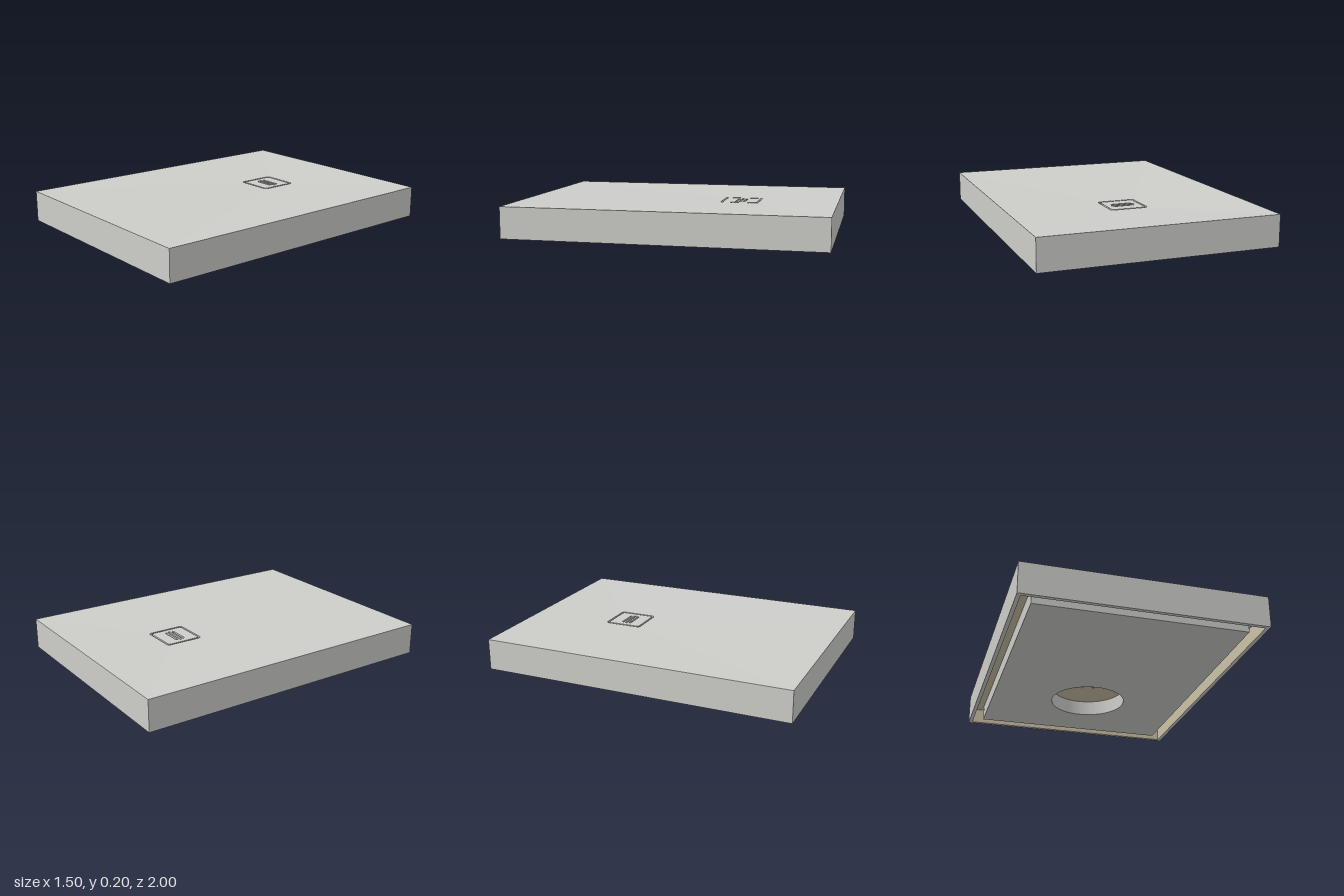
import * as THREE from 'three';

const W = 0.75, L = 1, H = 0.2;      // half width, half length, height
const DRAIN_Z = -0.37, DIP = 0.015;  // drain position and fall of the top
const DECK = 0.1;                    // underside of the moulded slab

const stone = new THREE.MeshStandardMaterial({ name: 'stone grey', color: 0xcdcdca });
const cream = new THREE.MeshStandardMaterial({ name: 'cream backing', color: 0xcdc2a8 });

// Rounded rectangle loop, counter-clockwise from above; radius 0 repeats the corner
function loop(hx, hz, y, r = 0, cz = 0) {
  const pts = [], n = 6;
  [[1, -1], [-1, -1], [-1, 1], [1, 1]].forEach(([sx, sz], c) => {
    for (let i = 0; i <= n; i++) {
      const a = (c + i / n) * Math.PI / 2;
      pts.push(new THREE.Vector3(
        sx * (hx - r) + r * Math.cos(a), y, cz + sz * (hz - r) - r * Math.sin(a)));
    }
  });
  return pts;
}

// Strip of faces joining two loops of equal length
function ribbon(a, b) {
  const pts = [], tri = new THREE.Triangle();
  const add = (p, q, r) => {
    if (tri.set(p, q, r).getArea() > 1e-9) pts.push(p, q, r);
  };
  a.forEach((p, i) => {
    const j = (i + 1) % a.length;
    add(p, a[j], b[j]);
    add(p, b[j], b[i]);
  });
  const g = new THREE.BufferGeometry().setFromPoints(pts);
  g.computeVertexNormals();
  return g;
}

// Flat outline made from a loop (z becomes -y in the shape plane)
const outline = (pts, Type = THREE.Shape) =>
  new Type(pts.map(p => new THREE.Vector2(p.x, -p.z)));

// Horizontal extrusion standing on y = 0
const slab = (shape, depth) =>
  new THREE.ExtrudeGeometry(shape, { depth, bevelEnabled: false, curveSegments: 48 }).rotateX(-Math.PI / 2);

export function createModel() {
  const model = new THREE.Group();
  model.name = 'showerTray';
  const add = (name, geometry, material, y = 0, z = 0) => {
    const mesh = new THREE.Mesh(geometry, material);
    mesh.name = name;
    mesh.position.set(0, y, z);
    model.add(mesh);
  };

  // Tray shell: lining, rim, sides, gently falling top and drain pocket
  const t = 0.025, pocketY = H - DIP, floorY = pocketY - 0.025;
  const lipTop = loop(W, L, H), lipBottom = loop(W, L, 0), inner = loop(W - t, L - t, 0);
  const pocketTop = loop(0.122, 0.122, pocketY, 0.02, DRAIN_Z);
  const pocketLow = loop(0.122, 0.122, floorY, 0.02, DRAIN_Z);
  add('skirtLining', ribbon(loop(W - t, L - t, DECK), inner), cream);
  add('bottomRim', ribbon(inner, lipBottom), stone);
  add('outerSides', ribbon(lipBottom, lipTop), stone);
  add('traySurface', ribbon(lipTop, pocketTop), stone);
  add('drainPocketWall', ribbon(pocketTop, pocketLow), stone);
  add('drainPocketFloor',
    new THREE.ShapeGeometry(outline(pocketLow)).rotateX(-Math.PI / 2), stone, floorY);
  add('slabUnderside',
    new THREE.PlaneGeometry(2 * (W - t), 2 * (L - t)).rotateX(Math.PI / 2), cream, DECK);

  // Drain cover with three slots
  const cover = outline(loop(0.11, 0.11, 0, 0.014));
  [[-0.025, 0.068], [0, 0.078], [0.025, 0.068]].forEach(([z, half]) => {
    cover.holes.push(outline(loop(half, 0.007, 0, 0.006, z), THREE.Path));
  });
  add('drainCover', slab(cover, pocketY - floorY), stone, floorY, DRAIN_Z);

  // Support core below, with a round opening around the drain
  const core = outline(loop(W - 0.095, L - 0.095, 0));
  core.holes.push(new THREE.Path().absarc(0, -DRAIN_Z, 0.25, 0, Math.PI * 2, true));
  add('supportCore', slab(core, DECK), stone);

  // Shallow outlet steps on the underside
  [[0.085, 0.004], [0.045, 0.008]].forEach(([r, h]) => {
    add('drainOutlet', new THREE.CylinderGeometry(r, r, h, 40), cream, DECK - h / 2, DRAIN_Z);
  });
  return model;
}
